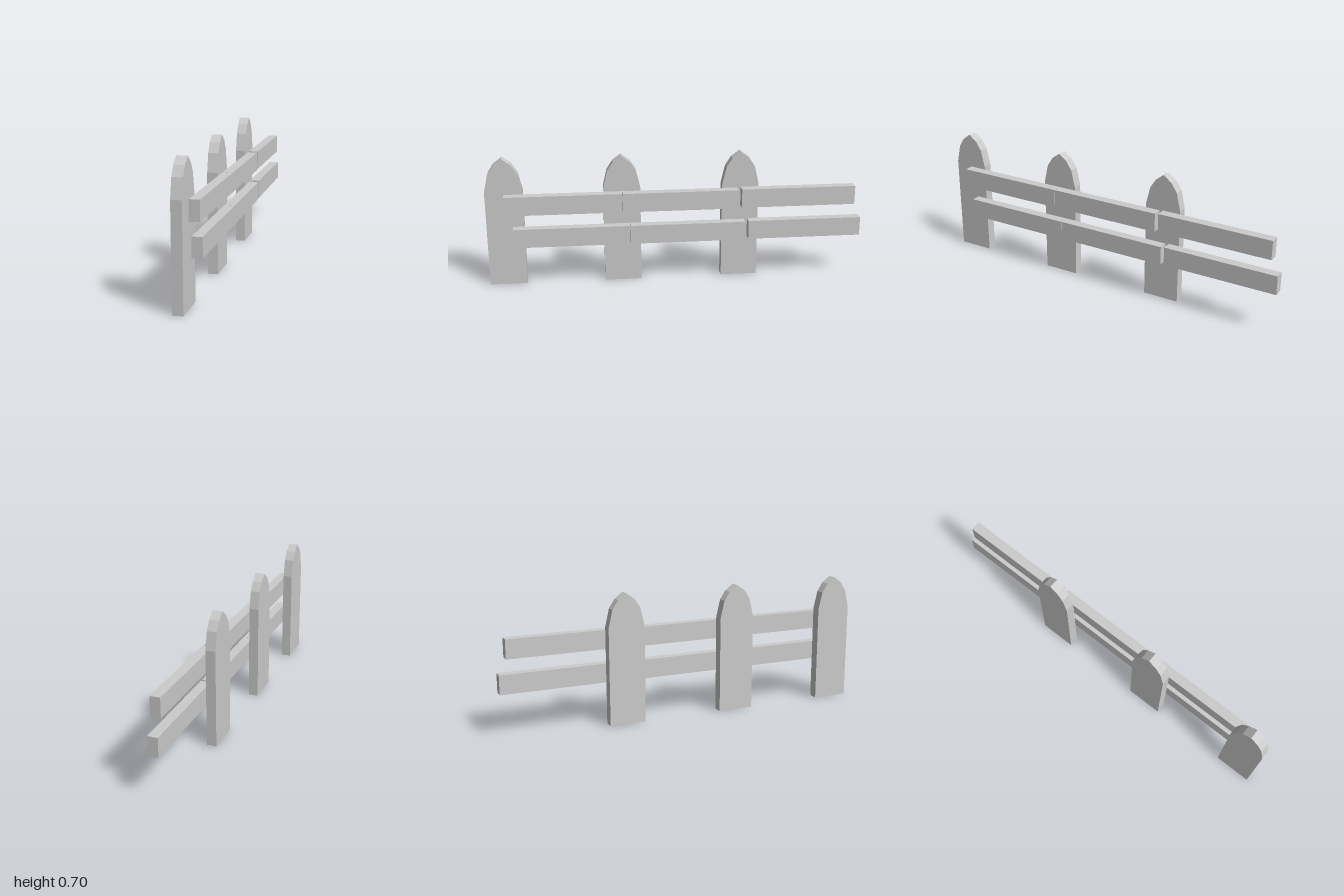
import * as THREE from 'three';

const DEPTH = 0.052;

// Post outline, mirrored about its centre: half width, height
const HALF = [[0.098, 0], [0.098, 0.518], [0.076, 0.612], [0.045, 0.66]];

function postGeometry() {
  const points = [
    ...HALF.map(([w, y]) => new THREE.Vector2(w, y)),
    new THREE.Vector2(0, 0.693),
    ...[...HALF].reverse().map(([w, y]) => new THREE.Vector2(-w, y)),
  ];
  const geometry = new THREE.ExtrudeGeometry(new THREE.Shape(points), { depth: DEPTH, bevelEnabled: false });
  // Turn the outline into the z-y plane, occupying x from -DEPTH to 0
  return geometry.rotateY(-Math.PI / 2);
}

export function createModel() {
  const group = new THREE.Group();
  const material = new THREE.MeshStandardMaterial({ color: 0xcccccc, flatShading: true });
  const post = postGeometry();
  const rail = new THREE.BoxGeometry(DEPTH, 0.101, 0.613);

  // Three fence sections, each a pointed post with two staggered rails
  const sections = [[0.902, 0], [0.287, 0], [-0.345, 0.003]];
  sections.forEach(([z, lift], i) => {
    const section = new THREE.Group();
    section.name = `fenceSection${i + 1}`;
    section.position.set(0, lift, z);

    const add = (name, geometry, x, y, dz) => {
      const mesh = new THREE.Mesh(geometry, material);
      mesh.name = name;
      mesh.position.set(x, y, dz);
      section.add(mesh);
    };
    add('post', post, 0, 0, 0);
    add('upperRail', rail, DEPTH / 2, 0.451, -0.308);
    add('lowerRail', rail, DEPTH / 2, 0.273, -0.347);
    group.add(section);
  });
  return group;
}
